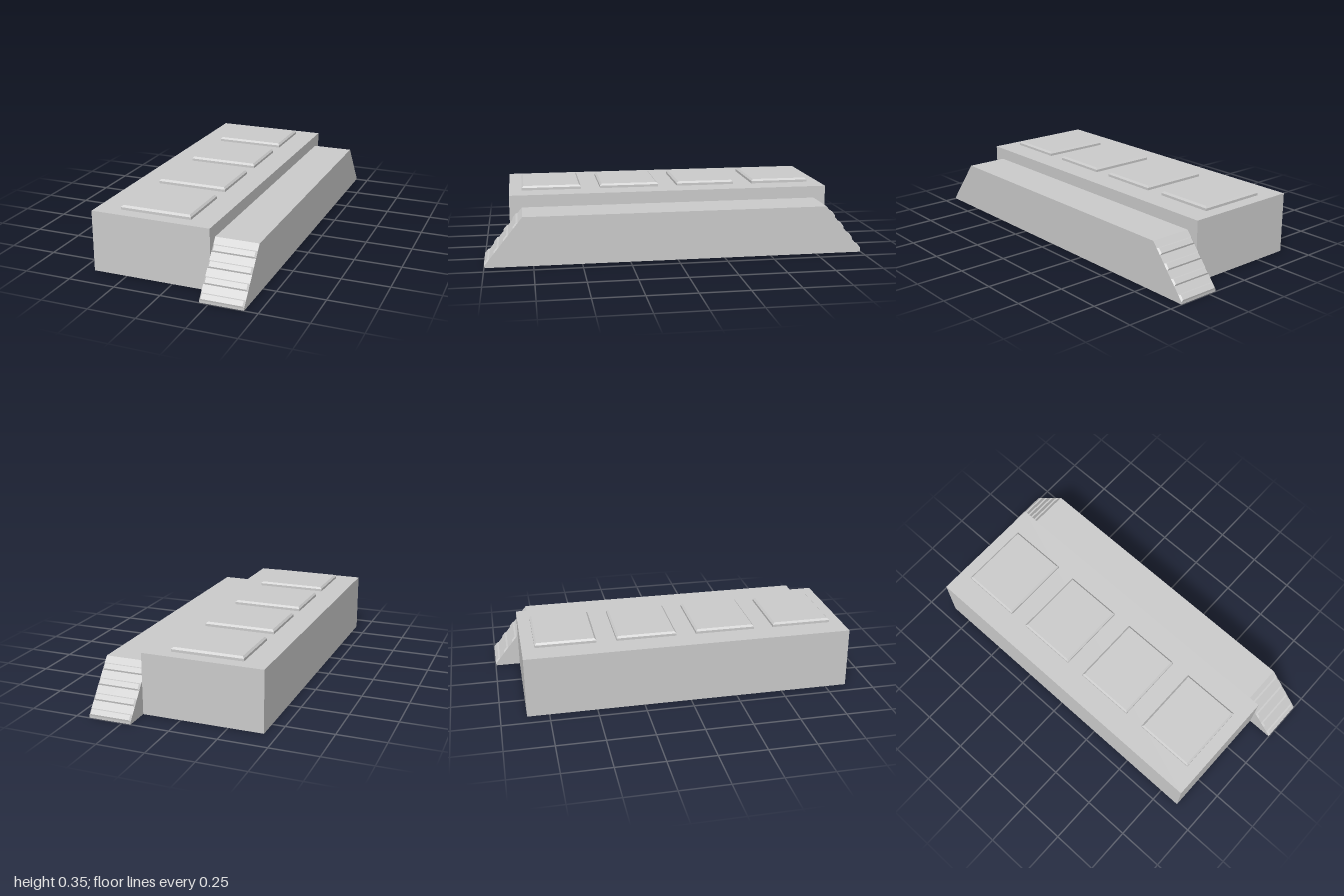
import * as THREE from 'three';

const material = new THREE.MeshStandardMaterial({ color: 0xcccccc, flatShading: true });

function part(name, geometry, parent) {
  const mesh = new THREE.Mesh(geometry, material);
  mesh.name = name;
  parent.add(mesh);
  return mesh;
}

// Box standing on y = 0 whose top edges are chamfered above the height "wall"
function chamferedBox(w, h, d, wall, insetX, insetZ) {
  const g = new THREE.BoxGeometry(w, h, d, 1, wall > 0 ? 2 : 1, 1).translate(0, h / 2, 0);
  const p = g.attributes.position;
  for (let i = 0; i < p.count; i++) {
    const y = p.getY(i);
    if (y > h - 1e-5) {
      p.setX(i, p.getX(i) - Math.sign(p.getX(i)) * insetX);
      p.setZ(i, p.getZ(i) - Math.sign(p.getZ(i)) * insetZ);
    } else if (y > 1e-5) p.setY(i, wall);
  }
  const flat = g.toNonIndexed();
  flat.computeVertexNormals();
  return flat;
}

export function createModel() {
  const model = new THREE.Group();
  model.name = 'platform';

  // Main block
  const height = 0.323;
  part('body', new THREE.BoxGeometry(0.636, height, 1.73), model).position.set(-0.115, height / 2, 0);

  // Four raised panels along the top
  for (let i = 0; i < 4; i++) {
    const panel = part('topPanel', chamferedBox(0.38, 0.023, 0.32, 0.013, 0.009, 0.01), model);
    panel.position.set(-0.115, height, (i - 1.5) * 0.425);
  }

  // Side walkway with a sloping ramp at each end
  const walkway = new THREE.Group();
  walkway.name = 'walkway';
  walkway.position.x = 0.3165;
  model.add(walkway);

  const width = 0.227, topY = 0.258, topZ = 0.8, footY = 0.012, footZ = 0.998;
  const profile = new THREE.Shape([
    [-footZ, 0], [footZ, 0], [footZ, footY], [topZ, topY], [-topZ, topY], [-footZ, footY],
  ].map(([z, y]) => new THREE.Vector2(z, y)));
  const ramp = new THREE.ExtrudeGeometry(profile, { depth: width, bevelEnabled: false });
  ramp.translate(0, 0, -width / 2).rotateY(-Math.PI / 2);
  part('walkwayBase', ramp, walkway);

  // Chamfered treads lying on both slopes
  const dz = footZ - topZ, dy = topY - footY;
  const tilt = Math.atan2(dy, dz);
  const treadDepth = 0.03 * Math.hypot(dz, dy) / dy;
  const tread = chamferedBox(width, 0.007, treadDepth, 0, 0.008, 0.006);
  for (const turn of [0, Math.PI]) {
    const steps = new THREE.Group();
    steps.name = turn ? 'backSteps' : 'frontSteps';
    steps.rotation.y = turn;
    walkway.add(steps);
    for (let i = 0; i < 4; i++) {
      const y = 0.027 + i * 0.0622;
      const step = part('tread', tread, steps);
      step.position.set(0, y, topZ + (topY - y) * dz / dy);
      step.rotation.x = tilt;
    }
  }
  return model;
}
